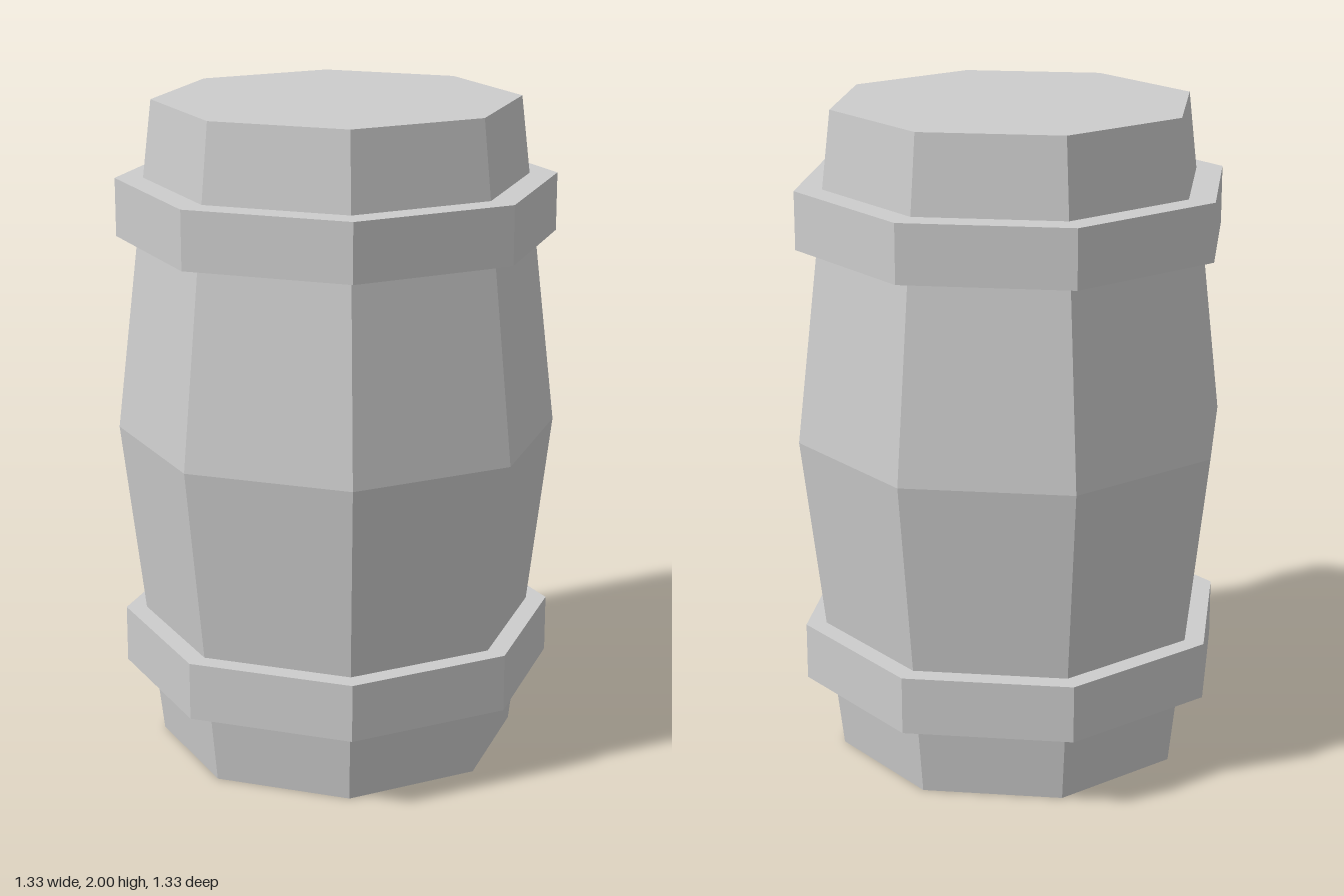
import * as THREE from 'three';

const SIDES = 8;

// Eight-sided solid turned from [radius, height] points, listed bottom to top
function turned(name, profile, material) {
  const points = profile.map(([r, y]) => new THREE.Vector2(r, y));
  const mesh = new THREE.Mesh(new THREE.LatheGeometry(points, SIDES), material);
  mesh.name = name;
  return mesh;
}

export function createModel() {
  const group = new THREE.Group();
  group.name = 'barrel';
  const grey = new THREE.MeshStandardMaterial({ color: 0xcccccc });
  grey.name = 'light grey';
  grey.flatShading = true;

  // Bulging body with flat closed ends
  group.add(turned('barrelBody', [[0, 0], [0.548, 0], [0.665, 1], [0.548, 2], [0, 2]], grey));

  // Two hoops, their inner edges sunk into the body
  for (const [name, y0, y1] of [['lowerHoop', 0.235, 0.41], ['upperHoop', 1.593, 1.768]]) {
    group.add(turned(name, [[0.56, y0], [0.659, y0], [0.659, y1], [0.56, y1]], grey));
  }
  return group;
}
